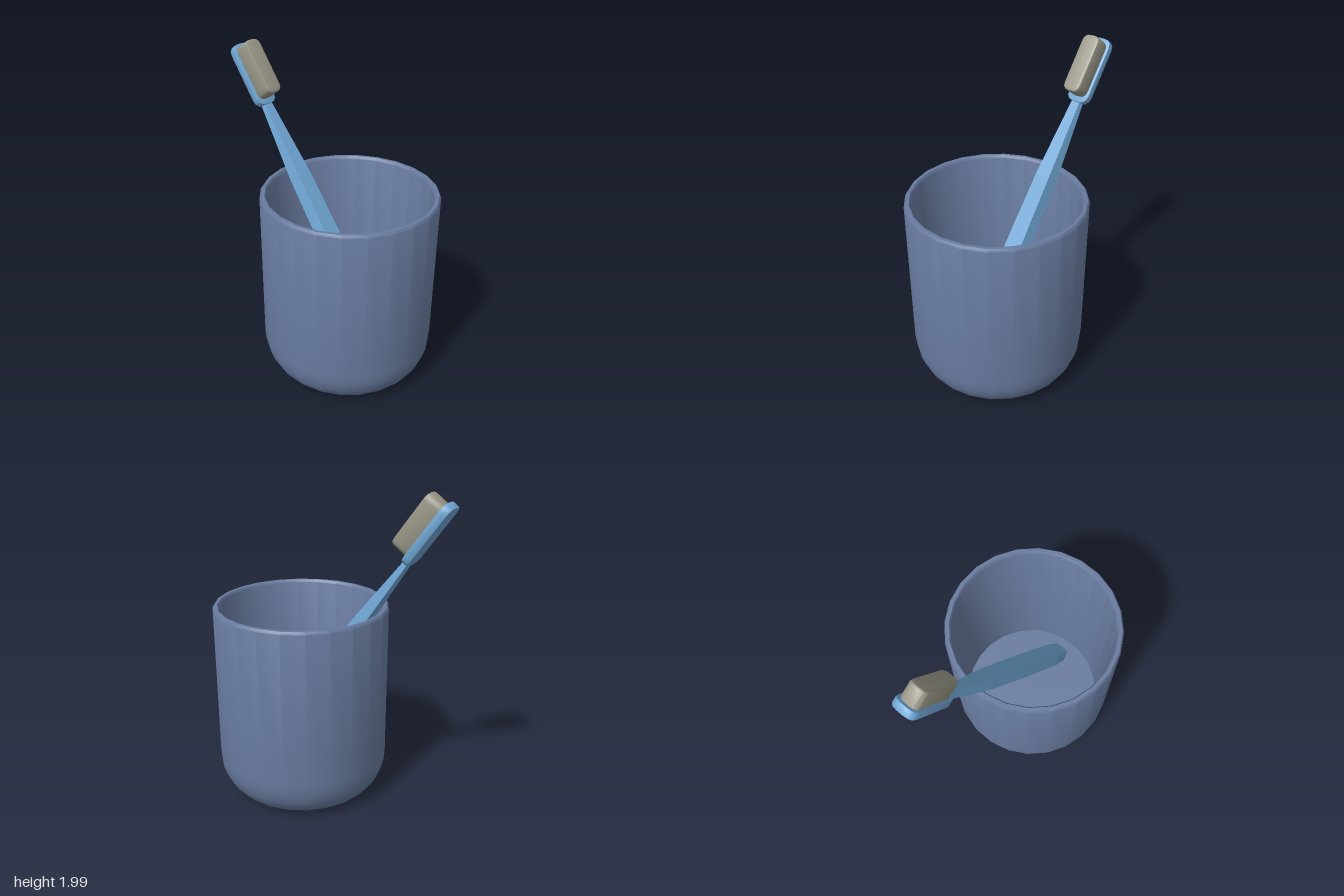
import * as THREE from 'three';
import { toCreasedNormals } from 'three/addons/utils/BufferGeometryUtils.js';

const material = (name, color) => {
  const m = new THREE.MeshStandardMaterial({ color });
  m.name = name;
  return m;
};

const mesh = (name, geometry, mat) => {
  const m = new THREE.Mesh(geometry, mat);
  m.name = name;
  return m;
};

// Rounded cup: outer wall, rim, inner wall and floor as one revolved profile
function cupGeometry() {
  const pts = [[0, 0]];
  for (let i = 0; i <= 6; i++) {
    const a = (i / 6) * Math.PI / 2;
    pts.push([0.365 + 0.18 * Math.sin(a), 0.25 - 0.25 * Math.cos(a)]);
  }
  pts.push([0.545, 1.225], [0.535, 1.24], [0.515, 1.24], [0.505, 1.225], [0.475, 0.07], [0, 0.07]);
  const profile = pts.map(([x, y]) => new THREE.Vector2(x, y));
  return toCreasedNormals(new THREE.LatheGeometry(profile, 24), 0.6);
}

// Faceted handle: trapezoid sections [along, width, thickness]
function handleGeometry(sections) {
  const rings = sections.map(([s, w, t]) => [
    [-w / 2, s, -t / 2], [-w * 0.38, s, t / 2], [w * 0.38, s, t / 2], [w / 2, s, -t / 2],
  ]);
  const pos = [];
  const quad = (a, b, c, d) => pos.push(...a, ...b, ...c, ...a, ...c, ...d);
  for (let i = 0; i < rings.length - 1; i++) {
    const r = rings[i], q = rings[i + 1];
    for (let k = 0; k < 4; k++) {
      const n = (k + 1) % 4;
      quad(r[k], r[n], q[n], q[k]);
    }
  }
  const first = rings[0], last = rings[rings.length - 1];
  quad(first[3], first[2], first[1], first[0]);
  quad(...last);
  const g = new THREE.BufferGeometry();
  g.setAttribute('position', new THREE.Float32BufferAttribute(pos, 3));
  g.computeVertexNormals();
  return g;
}

// Rounded slab lying in the brush plane, from s0 to s1 along it and z0 to z1 through it
function slabGeometry(width, s0, s1, z0, z1, radius, bevel) {
  const w = width / 2 - bevel, a = s0 + bevel, b = s1 - bevel, r = radius;
  const shape = new THREE.Shape();
  shape.moveTo(-w + r, a);
  shape.lineTo(w - r, a);
  shape.quadraticCurveTo(w, a, w, a + r);
  shape.lineTo(w, b - r);
  shape.quadraticCurveTo(w, b, w - r, b);
  shape.lineTo(-w + r, b);
  shape.quadraticCurveTo(-w, b, -w, b - r);
  shape.lineTo(-w, a + r);
  shape.quadraticCurveTo(-w, a, -w + r, a);
  const g = new THREE.ExtrudeGeometry(shape, {
    depth: z1 - z0 - 2 * bevel, curveSegments: 3,
    bevelEnabled: true, bevelSize: bevel, bevelThickness: bevel, bevelSegments: 2,
  });
  g.translate(0, 0, z0 + bevel);
  return toCreasedNormals(g, 0.6);
}

export function createModel() {
  const cupBlue = material('cup blue', 0x687b9f);
  const brushBlue = material('brush blue', 0x6fa6d4);
  const bristleGrey = material('bristle grey', 0x979586);

  const model = new THREE.Group();
  model.name = 'cupWithToothbrush';

  const cup = mesh('cup', cupGeometry(), cupBlue);
  cup.position.x = 0.19;
  model.add(cup);

  // Toothbrush: local y runs along the handle, local z is the bristle side
  const brush = new THREE.Group();
  brush.name = 'toothbrush';
  const along = new THREE.Vector3(-1.24, 1.84, -0.49).normalize();
  const across = along.clone().cross(new THREE.Vector3(0, 1, 0)).normalize();
  const outward = across.clone().cross(along);
  brush.quaternion.setFromRotationMatrix(new THREE.Matrix4().makeBasis(across, along, outward));
  brush.position.set(0.54, 0.09, 0.115);

  brush.add(mesh('handle', handleGeometry([
    [-0.02, 0.1, 0.05],
    [0.03, 0.14, 0.07],
    [0.25, 0.165, 0.08],
    [0.8, 0.155, 0.08],
    [1.36, 0.13, 0.078],
    [1.86, 0.075, 0.032],
    [1.92, 0.07, 0.03],
  ]), brushBlue));
  brush.add(mesh('brushHead', slabGeometry(0.15, 1.865, 2.285, -0.028, 0.022, 0.05, 0.006), brushBlue));
  brush.add(mesh('bristles', slabGeometry(0.118, 1.9, 2.262, 0.01, 0.133, 0.03, 0.014), bristleGrey));
  model.add(brush);

  return model;
}
